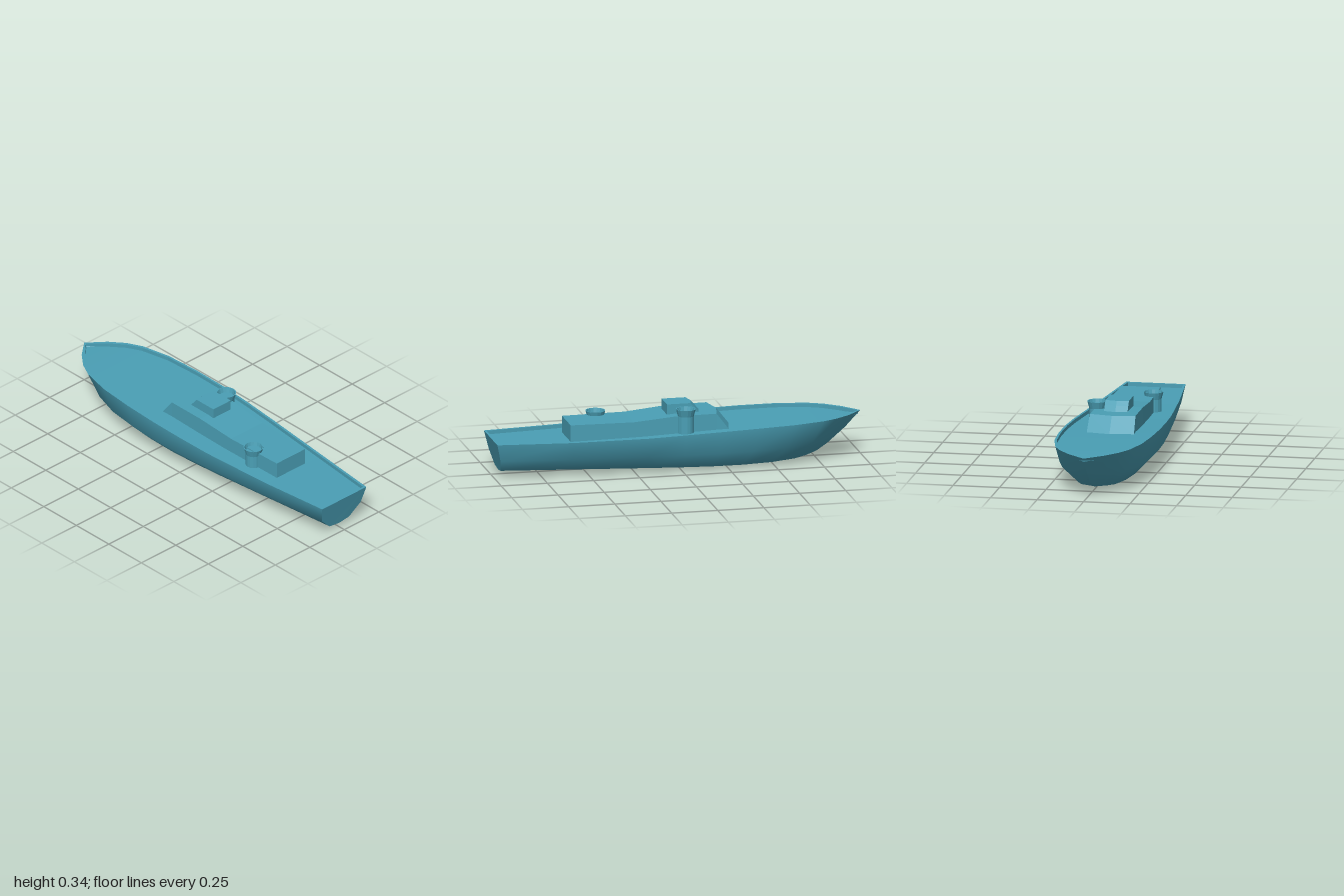
import * as THREE from 'three';

const COLOR = 0x4a9fb5;
const smoothMat = new THREE.MeshStandardMaterial({ color: COLOR, side: THREE.DoubleSide });
const flatMat = new THREE.MeshStandardMaterial({ color: COLOR, side: THREE.DoubleSide, flatShading: true });

// Skin a list of cross-sections, each a list of [x, y, z] points
function loft(rows) {
  const n = rows[0].length, index = [];
  for (let i = 0; i < rows.length - 1; i++) {
    for (let j = 0; j < n - 1; j++) {
      const a = i * n + j, b = a + 1, c = a + n, d = c + 1;
      index.push(a, b, c, b, d, c);
    }
  }
  return geometryFrom(rows.flat(), index);
}

// Close the aft end of a lofted form
function endCap(row) {
  const index = [];
  for (let j = 1; j < row.length - 1; j++) index.push(0, j + 1, j);
  return geometryFrom(row, index);
}

function geometryFrom(points, index) {
  const geo = new THREE.BufferGeometry();
  geo.setAttribute('position', new THREE.Float32BufferAttribute(points.flat(), 3));
  geo.setIndex(index);
  geo.computeVertexNormals();
  return geo;
}

function add(parent, name, geo, mat = flatMat) {
  const mesh = new THREE.Mesh(geo, mat);
  mesh.name = name;
  parent.add(mesh);
  return mesh;
}

// Stations from stern to bow: rail z, rail x, rail y, chine x, chine y, bilge x, bilge y, keel y
const STATIONS = [
  [1.00, 0.160, 0.200, 0.140, 0.105, 0.070, 0.036, 0.026],
  [0.60, 0.203, 0.200, 0.185, 0.105, 0.105, 0.030, 0.020],
  [0.20, 0.238, 0.209, 0.222, 0.105, 0.138, 0.023, 0.013],
  [0.00, 0.249, 0.218, 0.236, 0.105, 0.150, 0.019, 0.010],
  [-0.20, 0.254, 0.226, 0.241, 0.105, 0.155, 0.016, 0.007],
  [-0.40, 0.250, 0.232, 0.236, 0.106, 0.150, 0.014, 0.004],
  [-0.60, 0.235, 0.236, 0.215, 0.108, 0.130, 0.014, 0.002],
  [-0.76, 0.198, 0.238, 0.172, 0.114, 0.098, 0.018, 0.002],
  [-0.84, 0.158, 0.238, 0.130, 0.121, 0.070, 0.025, 0.006],
  [-0.92, 0.094, 0.237, 0.072, 0.131, 0.038, 0.038, 0.014],
  [-1.00, 0.000, 0.235, 0.000, 0.150, 0.000, 0.065, 0.030],
];
const RAIL = 0.012, DECK_DROP = 0.02;

// Raked stem and transom: lower lines are drawn in from the rail ends
const raked = (z, fore, aft) => z * (z < 0 ? fore : aft);

function hullSection([z, rx, ry, cx, cy, bx, by, ky]) {
  const side = [
    [rx, ry, z],
    [cx, cy, raked(z, 0.92, 0.978)],
    [bx, by, raked(z, 0.82, 0.962)],
  ];
  const keel = [0, ky, raked(z, 0.74, 0.96)];
  return [...side, keel, ...side.map(([x, y, w]) => [-x, y, w]).reverse()];
}

function deckSection([z, rx, ry]) {
  const ix = Math.max(0, rx - RAIL), iz = z * 0.987, dy = ry - DECK_DROP;
  return [
    [-rx, ry, z], [-ix, ry, iz], [-ix, dy, iz], [0, dy, iz],
    [ix, dy, iz], [ix, ry, iz], [rx, ry, z],
  ];
}

// Deckhouse from rows of [z, half width, roof y, forward peak], standing on base
function house(parent, name, base, rows) {
  const group = new THREE.Group();
  group.name = name;
  const sections = rows.map(([z, w, y, peak = 0]) => [
    [-w, base, z], [-w, y, z], [0, y, z - peak], [w, y, z], [w, base, z],
  ]);
  add(group, name + 'Shell', loft(sections));
  add(group, name + 'AftWall', endCap(sections[0]));
  parent.add(group);
}

// Round pedestal with a flared open tub on top
function tub(parent, name, x, z, top) {
  const profile = [
    [0.043, 0.17], [0.043, top - 0.038], [0.053, top],
    [0.048, top], [0.041, top - 0.026], [0, top - 0.026],
  ].map(([r, y]) => new THREE.Vector2(r, y));
  add(parent, name, new THREE.LatheGeometry(profile, 16)).position.set(x, 0, z);
}

export function createModel() {
  const boat = new THREE.Group();
  boat.name = 'patrolBoat';

  // Hull and transom
  const hull = STATIONS.map(hullSection);
  add(boat, 'hull', loft(hull), smoothMat);
  add(boat, 'transom', endCap(hull[0]));

  // Deck with bulwark and rail
  const deck = STATIONS.map(deckSection);
  add(boat, 'deck', loft(deck));
  const stern = deck[0];
  add(boat, 'sternRail', loft([
    [stern[0], stern[6]], [stern[1], stern[5]], [stern[2], stern[4]],
  ]));

  // Deckhouse and wheelhouse
  house(boat, 'deckhouse', 0.175, [
    [0.59, 0.103, 0.270],
    [0.25, 0.114, 0.270],
    [0.02, 0.121, 0.291],
    [-0.195, 0.123, 0.293, 0.025],
    [-0.262, 0.127, 0.205, 0.027],
  ]);
  house(boat, 'wheelhouse', 0.27, [
    [0.06, 0.063, 0.343],
    [-0.068, 0.063, 0.343, 0.013],
    [-0.088, 0.063, 0.320, 0.014],
    [-0.112, 0.063, 0.290, 0.014],
    [-0.125, 0.063, 0.270, 0.014],
  ]);

  // Gun tubs
  tub(boat, 'forwardTub', 0.115, -0.03, 0.328);
  tub(boat, 'aftTub', -0.102, 0.41, 0.29);

  return boat;
}
